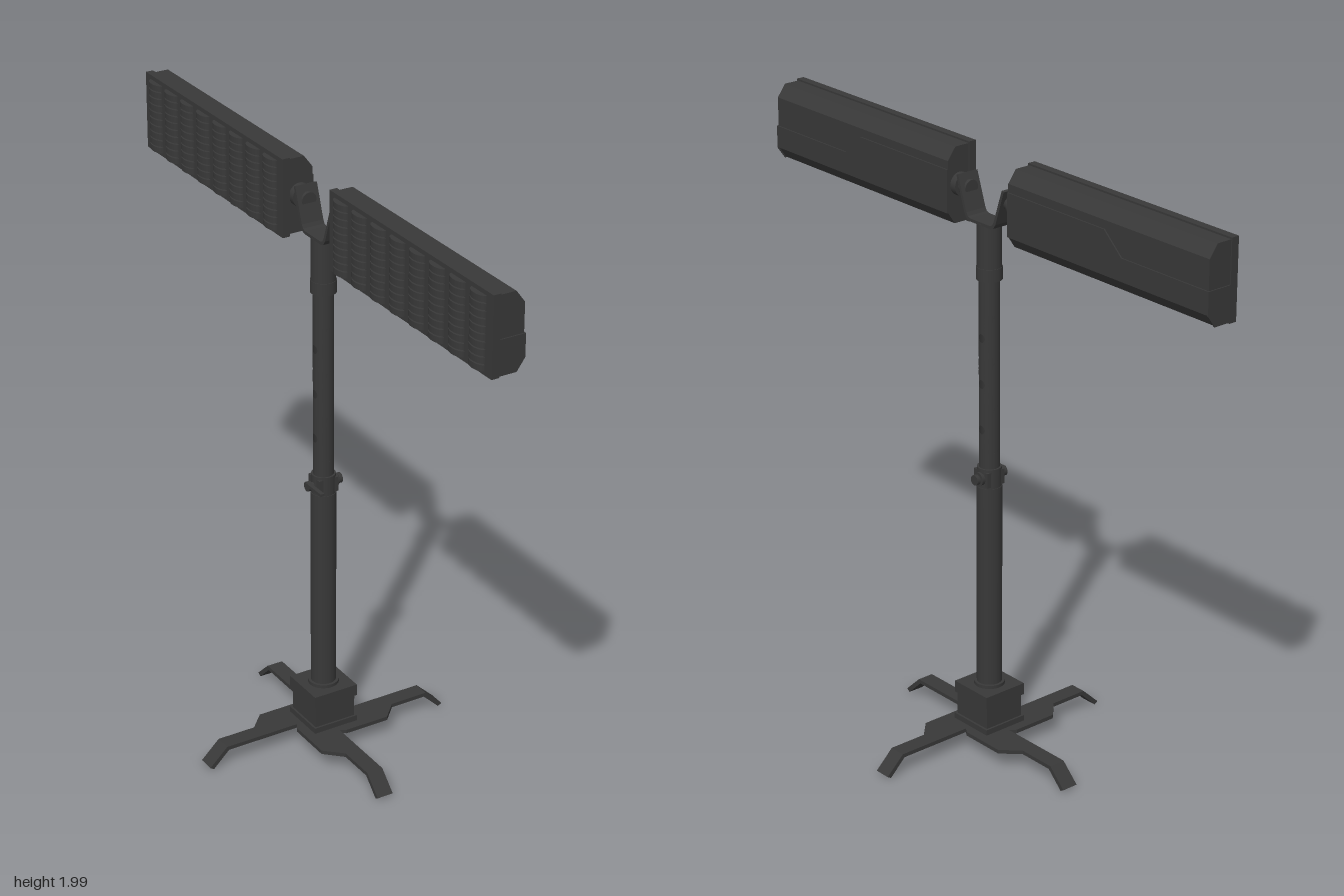
import * as THREE from 'three';

const mat = new THREE.MeshStandardMaterial({ color: 0x383838, side: THREE.DoubleSide });

function add(parent, name, geo, x = 0, y = 0, z = 0) {
  const m = new THREE.Mesh(geo, mat);
  m.name = name;
  m.position.set(x, y, z);
  parent.add(m);
  return m;
}
const box = (p, name, w, h, d, x, y, z) => add(p, name, new THREE.BoxGeometry(w, h, d), x, y, z);
const tube = (p, name, r, y0, y1) =>
  add(p, name, new THREE.CylinderGeometry(r, r, y1 - y0, 40), 0, (y0 + y1) / 2, 0);

// Prism with outline in (x, y), running along z
function prism(points, depth) {
  const shape = new THREE.Shape(points.map(([x, y]) => new THREE.Vector2(x, y)));
  return new THREE.ExtrudeGeometry(shape, { depth, bevelEnabled: false });
}

// Half of a round tube with a round hole in its middle, facing +x
function holedHalfTube(R, halfHeight, hole) {
  const g = new THREE.PlaneGeometry(1, 1, 64, 6);
  const { position: p, normal: n } = g.attributes;
  for (let i = 0; i < p.count; i++) {
    const t = -2 * Math.PI * (p.getX(i) + 0.5), v = p.getY(i) + 0.5;
    const c = Math.cos(t), s = Math.sin(t), k = 1 / Math.max(Math.abs(c), Math.abs(s));
    const a = THREE.MathUtils.lerp(hole * c, c * k * R * Math.PI / 2, v) / R;
    const y = THREE.MathUtils.lerp(hole * s, s * k * halfHeight, v);
    p.setXYZ(i, R * Math.cos(a), y, -R * Math.sin(a));
    n.setXYZ(i, Math.cos(a), 0, -Math.sin(a));
  }
  return g;
}

function buildLeg() {
  const leg = new THREE.Group();
  leg.name = 'leg';
  // Long strip with a bent-down foot
  add(leg, 'legStrip', prism([[0, 0.055], [0.355, 0.055], [0.412, 0], [0.425, 0.008],
    [0.362, 0.068], [0, 0.068]], 0.056));
  // Wide root of the leg
  const root = prism([[0, -0.056], [0.23, -0.056], [0.175, -0.113], [0.02, -0.113], [0, -0.1]], 0.013);
  root.rotateX(-Math.PI / 2);
  add(leg, 'legRoot', root, 0, 0.055, 0);
  return leg;
}

function buildLampHead(s) {
  const head = new THREE.Group();
  head.name = s > 0 ? 'frontLampHead' : 'rearLampHead';
  const z0 = 0.14, z1 = 0.996, len = z1 - z0, mid = s * (z0 + z1) / 2;

  // Housing with chamfered back edges, and the front frame
  add(head, 'housing', prism([[-0.036, 1.74], [0.02, 1.74], [0.046, 1.778], [0.046, 1.945],
    [0.016, 1.985], [-0.036, 1.985]], len), 0, 0, mid - len / 2);
  box(head, 'frontFrame', 0.026, 0.258, len + 0.008, -0.049, 1.862, mid);

  // Raised lower cover with a stepped upper edge
  const cover = prism([[z0, 1.778], [z1, 1.778], [z1, 1.85], [0.64, 1.85], [0.565, 1.918],
    [z0, 1.918]].map(([z, y]) => [-s * z, y]), 0.005);
  cover.rotateY(Math.PI / 2);
  add(head, 'backCover', cover, 0.045, 0, 0);
  add(head, 'endCover', prism([[-0.036, 1.737], [0.022, 1.737], [0.05, 1.776], [0.05, 1.85],
    [-0.036, 1.85]], 0.004), 0, 0, s * (z1 + 0.002) - 0.002);

  // Grid of domed lenses
  const lens = new THREE.CylinderGeometry(1, 1, 0.019, 14, 1, false, Math.PI, Math.PI);
  lens.scale(0.02, 1, 0.038);
  for (let col = 0; col < 8; col++)
    for (let row = 0; row < 10; row++)
      add(head, 'lens', lens, -0.061, 1.756 + row * 0.0235, s * (0.205 + col * 0.1035));

  // Swivel joint to the yoke
  const pivot = new THREE.CylinderGeometry(0.025, 0.025, 0.06, 28);
  const flange = new THREE.CylinderGeometry(0.037, 0.037, 0.024, 28);
  for (const g of [pivot, flange]) g.rotateX(Math.PI / 2);
  add(head, 'pivot', pivot, 0, 1.865, s * 0.112);
  add(head, 'pivotFlange', flange, 0, 1.865, s * 0.129);
  return head;
}

export function createModel() {
  const model = new THREE.Group();
  model.name = 'twinFloodLight';

  // Four legs in a pinwheel
  for (let i = 0; i < 4; i++) {
    const leg = buildLeg();
    leg.rotation.y = i * Math.PI / 2;
    model.add(leg);
  }

  // Base socket
  box(model, 'socketFoot', 0.16, 0.019, 0.16, 0, 0.0775, 0);
  box(model, 'socketBody', 0.146, 0.085, 0.146, 0, 0.125, 0);
  box(model, 'socketCap', 0.158, 0.04, 0.158, 0, 0.184, 0);
  tube(model, 'socketRing', 0.05, 0.2, 0.215);

  // Telescopic mast, the upper tube drilled for height settings
  tube(model, 'lowerMast', 0.041, 0.2, 0.905);
  tube(model, 'upperMastBottom', 0.033, 0.9, 1.024);
  tube(model, 'upperMastTop', 0.033, 1.482, 1.61);
  const drilled = holedHalfTube(0.033, 0.0765, 0.014);
  for (let i = 0; i < 3; i++)
    for (const turn of [0, Math.PI])
      add(model, 'drilledMast', drilled, 0, 1.1 + i * 0.153, 0).rotation.y = turn;

  // Clamp with cross pin, knobs and lever
  tube(model, 'clampCollar', 0.039, 0.902, 0.97);
  box(model, 'clampBlock', 0.07, 0.05, 0.066, 0, 0.936, 0);
  for (const [name, r, l, x] of [['clampPin', 0.01, 0.11, 0], ['clampKnob', 0.017, 0.012, 0.056],
    ['clampBoss', 0.022, 0.012, 0.04], ['leverHub', 0.016, 0.014, -0.055]]) {
    const g = new THREE.CylinderGeometry(r, r, l, 20);
    g.rotateZ(Math.PI / 2);
    add(model, name, g, x, 0.936, 0);
  }
  box(model, 'clampLever', 0.014, 0.009, 0.095, -0.058, 0.946, 0.043);

  // Top sleeve
  tube(model, 'sleeveRing', 0.041, 1.595, 1.636);
  tube(model, 'topSleeve', 0.039, 1.63, 1.778);

  // Bent yoke strap
  const half = [[0.048, 1.775], [0.062, 1.78], [0.072, 1.795], [0.11, 1.908]];
  const inner = [[0.101, 1.911], [0.063, 1.8], [0.056, 1.789], [0.046, 1.785]];
  const flip = pts => pts.map(([a, b]) => [-a, b]).reverse();
  const yoke = prism([...half, ...inner, ...flip(inner), ...flip(half)], 0.076);
  yoke.rotateY(Math.PI / 2);
  add(model, 'yoke', yoke, -0.038, 0, 0);

  model.add(buildLampHead(1), buildLampHead(-1));
  return model;
}
